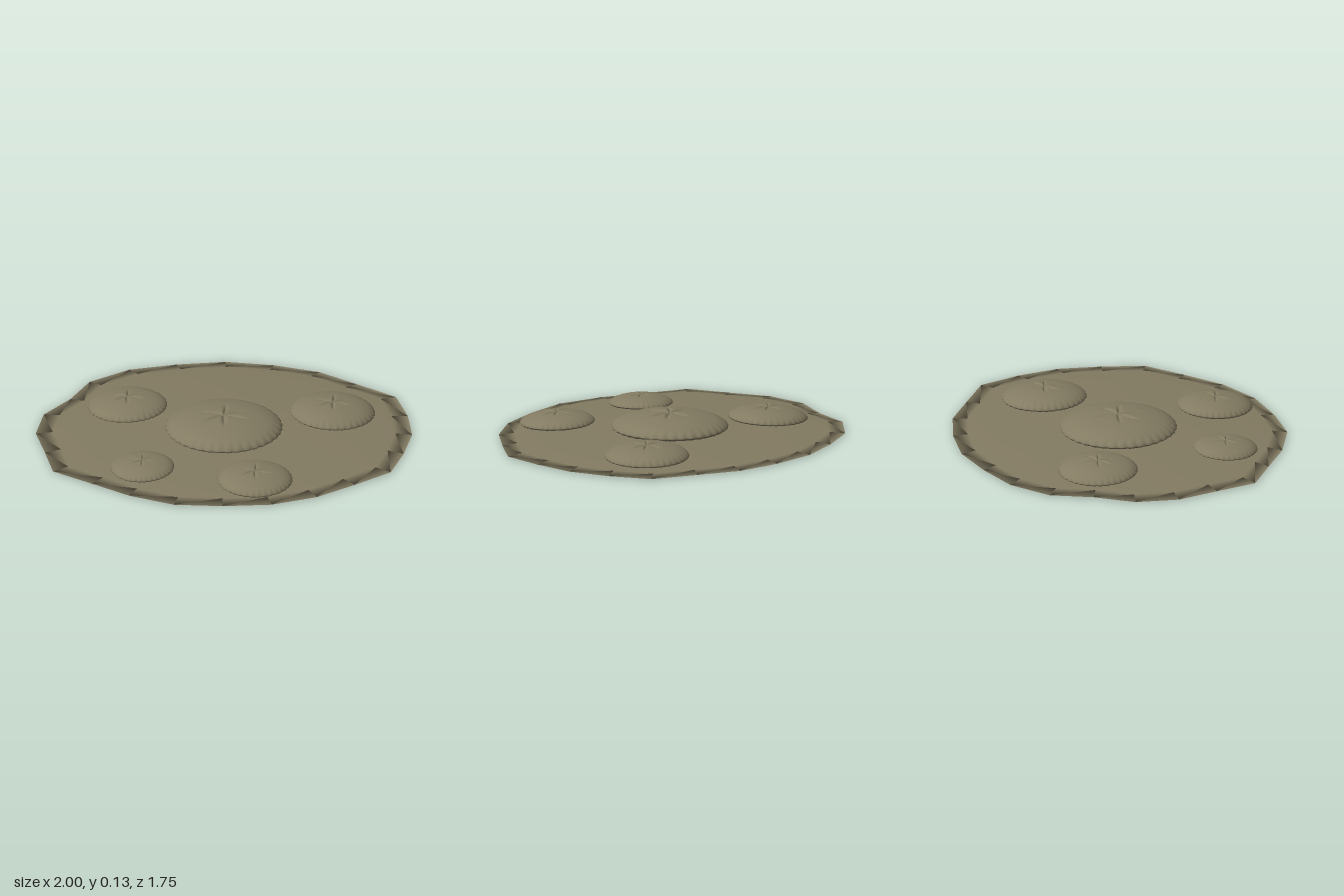
import * as THREE from 'three';
import { mergeVertices } from 'three/addons/utils/BufferGeometryUtils.js';

// Closed surface from stacked rings; point(i, j) gives the j-th point of ring i.
function loft(rings, sides, point) {
  const pos = [], index = [];
  for (let i = 0; i < rings; i++) {
    for (let j = 0; j < sides; j++) {
      pos.push(...point(i, j));
      if (i === rings - 1) continue;
      const k = (j + 1) % sides;
      const a = i * sides + j, b = i * sides + k;
      index.push(a, b, b + sides, a, b + sides, a + sides);
    }
  }
  let geometry = new THREE.BufferGeometry();
  geometry.setAttribute('position', new THREE.Float32BufferAttribute(pos, 3));
  geometry.setIndex(index);
  geometry = mergeVertices(geometry, 1e-5);
  geometry.computeVertexNormals();
  return geometry;
}

// Irregular outline of the mound, x and z
const OUTLINE = [
  [1, 0], [0.975, -0.23], [0.91, -0.46], [0.7, -0.615], [0.5, -0.76], [0.26, -0.84],
  [0, -0.88], [-0.26, -0.845], [-0.51, -0.78], [-0.72, -0.63], [-0.82, -0.42], [-0.96, -0.23],
  [-1, 0], [-0.95, 0.23], [-0.905, 0.46], [-0.7, 0.605], [-0.5, 0.75], [-0.26, 0.86],
  [0, 0.875], [0.26, 0.855], [0.5, 0.76], [0.7, 0.61], [0.89, 0.455], [0.957, 0.23],
];

// Mound section from underside centre, round the rim, to the top centre
const MOUND = [[0, 0], [0.5, 0], [0.88, 0], [1, 0.005], [0.91, 0.014], [0.75, 0.022], [0.5, 0.031], [0.25, 0.036], [0, 0.038]];

function moundGeometry() {
  return loft(MOUND.length, OUTLINE.length, (i, j) => {
    const [s, y] = MOUND[i];
    return [OUTLINE[j][0] * s, y, OUTLINE[j][1] * s];
  });
}

// Directions of the creases on a dome, in degrees
const CREASES = [80, 20, -25, -93, -150, 162];

function domeGeometry() {
  const sides = 180, arc = 32;
  return loft(arc + 3, sides, (i, j) => {
    const a = (j / sides) * Math.PI * 2;
    let r, y;
    if (i < 2) {
      // tucked-under foot
      [r, y] = [[0.86, 0], [0.95, 0.06]][i];
    } else {
      const t = ((i - 2) / arc) * Math.PI / 2;
      r = Math.cos(t);
      y = 0.17 + 0.83 * Math.pow(Math.sin(t), 1.1);
    }
    const radius = r;
    // scalloped rim fading up the side
    const fade = THREE.MathUtils.smoothstep(radius, 0.8, 0.97);
    r -= 0.022 * fade * (1 - Math.abs(Math.sin(a * 18)));
    // star of narrow, slightly curved grooves
    let groove = 0;
    for (const deg of CREASES) {
      const c = THREE.MathUtils.degToRad(deg) + 0.25 * radius;
      const along = radius * Math.cos(a - c), across = radius * Math.sin(a - c);
      if (along < -0.001) continue;
      const g = Math.exp(-Math.pow(across / 0.03, 2)) * (1 - THREE.MathUtils.smoothstep(radius, 0.2, 0.48));
      groove = Math.max(groove, g);
    }
    y -= 0.12 * groove;
    return [r * Math.cos(a), y, -r * Math.sin(a)];
  });
}

// Domes: name, x, z, radius, foot height, height
const DOMES = [
  ['centreDome', 0, 0, 0.312, 0.03, 0.097],
  ['backRightDome', -0.515, -0.29, 0.212, 0.018, 0.073],
  ['backLeftDome', 0.575, -0.22, 0.226, 0.018, 0.079],
  ['frontLeftDome', 0.17, 0.6, 0.2, 0.018, 0.07],
  ['frontRightDome', -0.43, 0.455, 0.17, 0.019, 0.059],
];

export function createModel() {
  const group = new THREE.Group();
  group.name = 'moundWithDomes';
  const clay = new THREE.MeshStandardMaterial({ color: 0x837b62 });
  clay.name = 'olive clay';

  const mound = new THREE.Mesh(moundGeometry(), clay);
  mound.name = 'mound';
  group.add(mound);

  const geometry = domeGeometry();
  for (const [name, x, z, radius, y, height] of DOMES) {
    const dome = new THREE.Mesh(geometry, clay);
    dome.name = name;
    dome.position.set(x, y, z);
    dome.scale.set(radius, height, radius);
    // lean outward with the slope of the mound
    const d = Math.hypot(x, z);
    if (d > 0) dome.quaternion.setFromAxisAngle(new THREE.Vector3(z / d, 0, -x / d), 0.04);
    group.add(dome);
  }
  return group;
}
